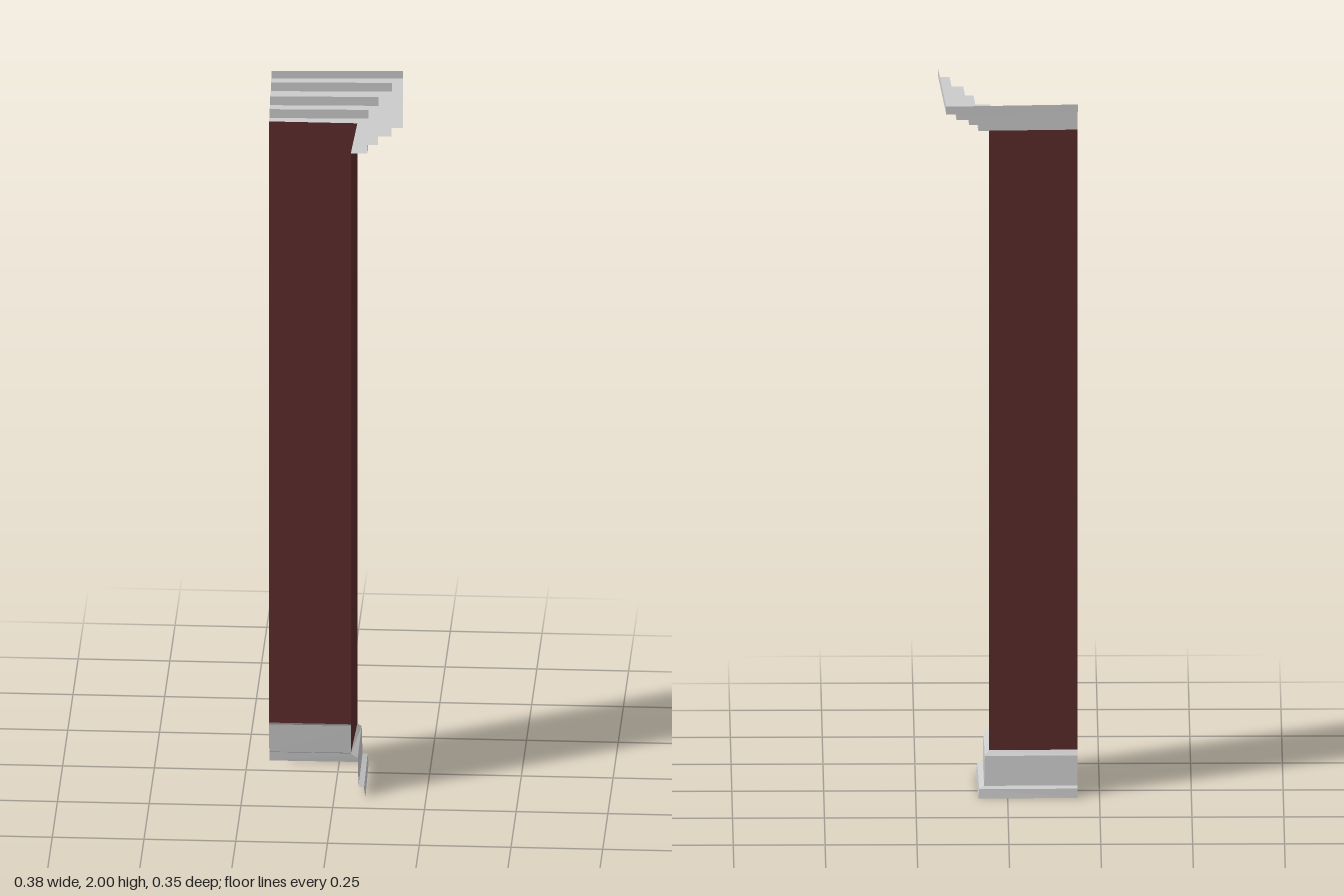
import * as THREE from 'three';

const X_END = -0.19, Z_END = 0.172;

// Each ring is an L-shaped line: [y, z at the x end, corner x, corner z, x at the z end].
// Consecutive rings, listed from bottom to top, are joined into an open sheet.
function cornerSheet(name, rings, color) {
  const lines = rings.map(([y, zEnd, cx, cz, xEnd]) => [
    [X_END, y, zEnd], [cx, y, cz], [xEnd, y, Z_END],
  ]);
  const pos = [];
  for (let i = 0; i < lines.length - 1; i++) {
    const low = lines[i], up = lines[i + 1];
    for (let j = 0; j < 2; j++) {
      pos.push(...low[j], ...up[j], ...up[j + 1]);
      pos.push(...low[j], ...up[j + 1], ...low[j + 1]);
    }
  }
  const geometry = new THREE.BufferGeometry();
  geometry.setAttribute('position', new THREE.Float32BufferAttribute(pos, 3));
  geometry.computeVertexNormals();
  const material = new THREE.MeshStandardMaterial({ color, side: THREE.DoubleSide, flatShading: true });
  const mesh = new THREE.Mesh(geometry, material);
  mesh.name = name;
  return mesh;
}

export function createModel() {
  const group = new THREE.Group();
  group.name = 'cornerPilaster';
  const shaft = [-0.039, 0.051, -0.039, 0.045];

  // Two tall panels meeting at the corner
  group.add(cornerSheet('shaft', [[0.125, ...shaft], [1.9, ...shaft]], 0x5c2b2b));

  // Skirting with a stepped foot and a sloping top edge
  const foot = [-0.07, 0.08, -0.073, 0.085];
  group.add(cornerSheet('base', [
    [0, ...foot],
    [0.026, -0.068, 0.077, -0.07, 0.081],
    [0.032, -0.056, 0.064, -0.06, 0.066],
    [0.115, -0.05, 0.062, -0.053, 0.064],
    [0.128, ...shaft],
  ], 0xcccccc));

  // Crown moulding: four steps, each a flat soffit followed by a vertical face
  const steps = [
    [-0.063, 0.08, -0.073, 0.091],
    [-0.091, 0.105, -0.103, 0.119],
    [-0.128, 0.14, -0.142, 0.156],
    [-0.156, 0.168, -0.174, 0.187],
  ];
  const crown = [[1.9, ...shaft]];
  steps.forEach((s, i) => crown.push([1.9 + i * 0.026, ...s], [i === 3 ? 2 : 1.926 + i * 0.026, ...s]));
  group.add(cornerSheet('crown', crown, 0xcccccc));

  return group;
}
